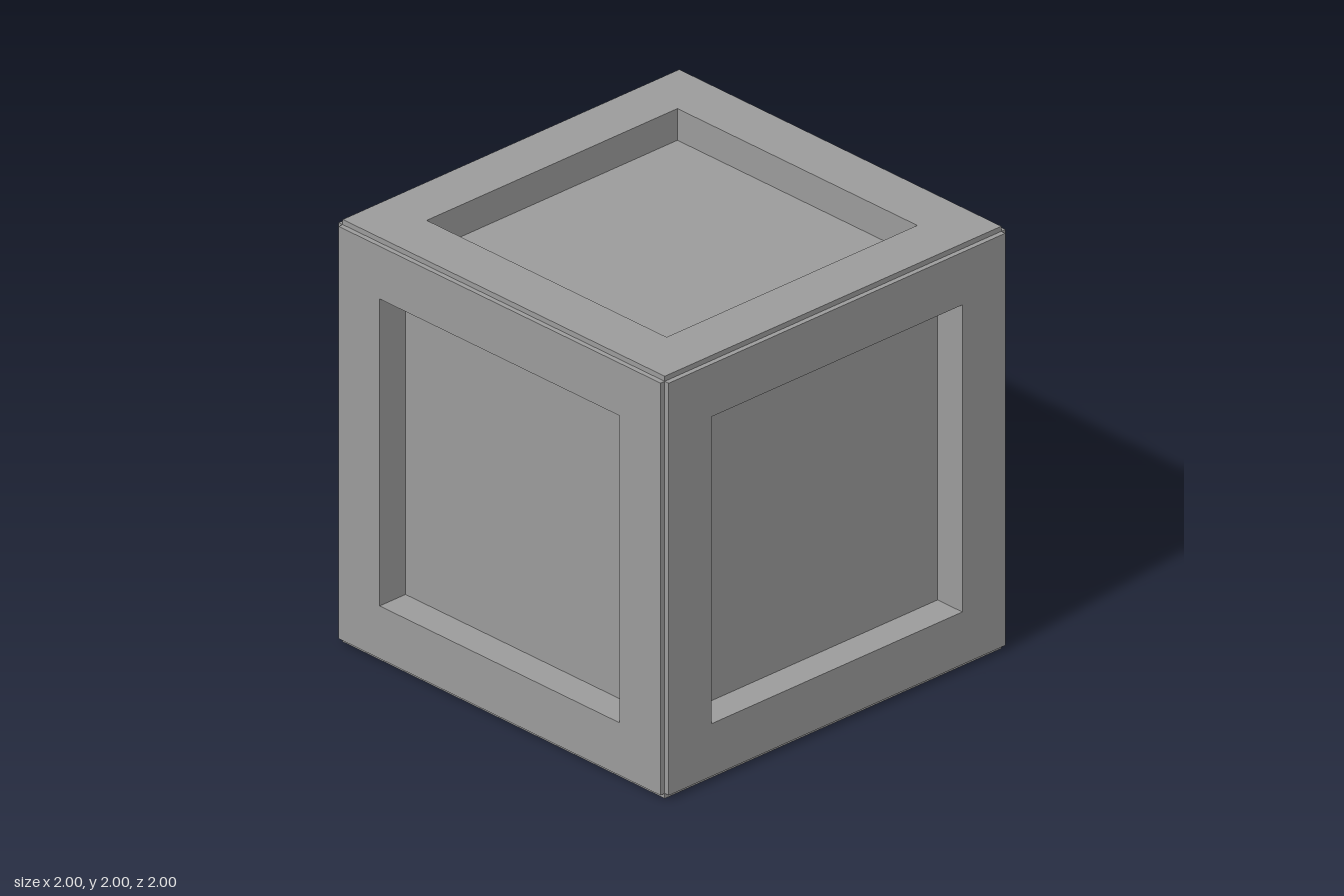
import * as THREE from 'three';

const OUTER = 1;       // half size of the cube
const LIP = 0.976;     // half width of each raised face, leaving a stepped notch on every edge
const OPENING = 0.727; // half width of the square recess
const FLOOR = 0.85;    // height of the recess floor above the cube's centre

// One face as a four-sided lathe: outer lip, flat rim, recess wall, recess floor
function faceGeometry() {
  const profile = [[LIP, LIP], [LIP, OUTER], [OPENING, OUTER], [OPENING, FLOOR], [0, FLOOR]]
    .map(([halfWidth, y]) => new THREE.Vector2(halfWidth * Math.SQRT2, y));
  const geometry = new THREE.LatheGeometry(profile, 4, Math.PI / 4).toNonIndexed();
  geometry.computeVertexNormals();
  return geometry;
}

export function createModel() {
  const group = new THREE.Group();
  group.name = 'panelledCube';
  const material = new THREE.MeshStandardMaterial({ color: 0x9b9b9b, flatShading: true });
  const geometry = faceGeometry();

  // The same recessed face turned towards all six directions
  const q = Math.PI / 2;
  const faces = {
    topFace: [0, 0, 0],
    bottomFace: [Math.PI, 0, 0],
    frontFace: [q, 0, 0],
    backFace: [-q, 0, 0],
    leftFace: [0, 0, -q],
    rightFace: [0, 0, q],
  };
  for (const [name, rotation] of Object.entries(faces)) {
    const face = new THREE.Mesh(geometry, material);
    face.name = name;
    face.rotation.set(...rotation);
    face.position.y = OUTER;
    group.add(face);
  }
  return group;
}
